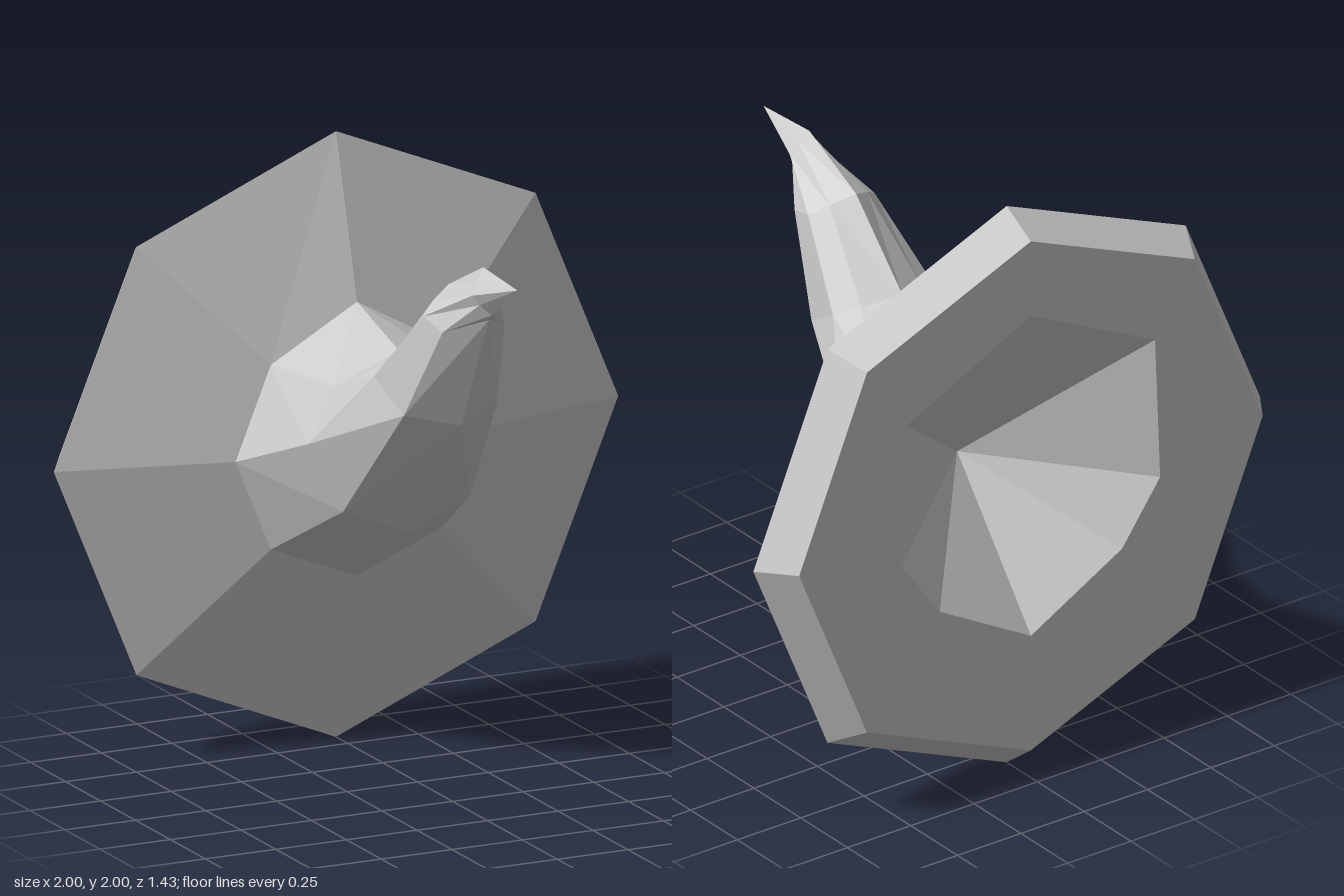
import * as THREE from 'three';

// Half cross-section (top, upper diagonal, side, lower diagonal, bottom) mirrored to 8 corners
const ring = (half) => [...half, ...half.slice(1, 4).reverse().map(([x, y, z]) => [-x, y, z])]
  .map((p) => new THREE.Vector3(...p));

const octagon = (r, y, z) => {
  const d = r * Math.SQRT1_2;
  return ring([[0, y + r, z], [d, y + d, z], [r, y, z], [d, y - d, z], [0, y - r, z]]);
};

const point = (x, y, z) => Array.from({ length: 8 }, () => new THREE.Vector3(x, y, z));

// Skin consecutive rings with faceted, left-right symmetric triangles
function loft(name, rings, material) {
  const pos = [];
  const tri = (a, b, c) => {
    if (a.equals(b) || b.equals(c) || a.equals(c)) return;
    for (const v of [a, b, c]) pos.push(v.x, v.y, v.z);
  };
  for (let i = 0; i < rings.length - 1; i++) {
    for (let j = 0; j < 8; j++) {
      const k = (j + 1) % 8;
      const a = rings[i][j], b = rings[i][k];
      const aF = rings[i + 1][j], bF = rings[i + 1][k];
      if (j < 4) { tri(a, aF, bF); tri(a, bF, b); }
      else { tri(a, aF, b); tri(aF, bF, b); }
    }
  }
  const geometry = new THREE.BufferGeometry();
  geometry.setAttribute('position', new THREE.Float32BufferAttribute(pos, 3));
  geometry.computeVertexNormals();
  const mesh = new THREE.Mesh(geometry, material);
  mesh.name = name;
  return mesh;
}

export function createModel() {
  const group = new THREE.Group();
  group.name = 'hornedDisc';
  const grey = new THREE.MeshStandardMaterial({ color: 0xcccccc, flatShading: true });

  // Rings shared between neighbouring parts
  const zBack = -0.715;
  const hollow = ring([[0, 1.66, zBack], [0.49, 1.42, zBack], [0.51, 0.92, zBack], [0.36, 0.71, zBack], [0, 0.51, zBack]]);
  const hornBase = ring([[0, 1.475, -0.435], [0.305, 1.305, -0.435], [0.43, 1, -0.435], [0.305, 0.695, -0.435], [0, 0.57, -0.435]]);

  // Conical hollow in the back
  group.add(loft('backHollow', [point(0, 1.005, -0.32), hollow], grey));

  // Back face, bevelled rim and sloping front of the disc
  group.add(loft('disc', [hollow, octagon(0.915, 1.013, zBack), octagon(1, 1, -0.585), hornBase], grey));

  // Horn curving forward and up to a point
  group.add(loft('horn', [
    hornBase,
    ring([[0, 1.39, -0.13], [0.225, 1.3, -0.14], [0.32, 1.12, -0.14], [0.225, 0.9, -0.08], [0, 0.81, -0.055]]),
    ring([[0, 1.44, -0.03], [0.12, 1.41, 0.03], [0.195, 1.385, 0.08], [0.165, 1.29, 0.235], [0, 1.255, 0.31]]),
    ring([[0, 1.7, 0.22], [0.075, 1.665, 0.26], [0.13, 1.63, 0.3], [0.11, 1.6, 0.4], [0, 1.655, 0.51]]),
    ring([[0, 1.82, 0.47], [0.03, 1.78, 0.485], [0.055, 1.74, 0.5], [0.035, 1.71, 0.515], [0, 1.675, 0.53]]),
    point(0, 1.805, 0.715),
  ], grey));

  return group;
}
